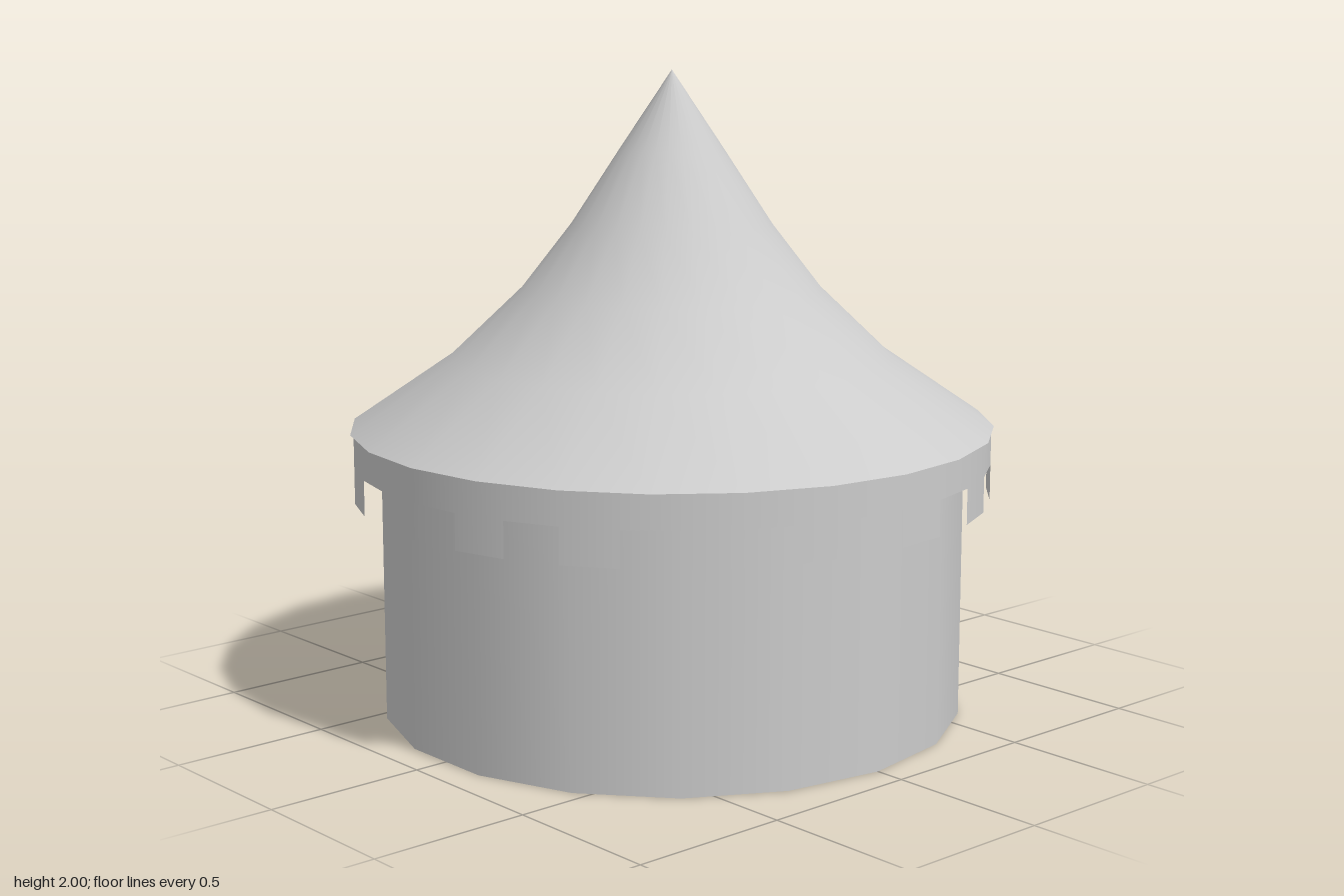
import * as THREE from 'three';

export function createModel() {
  const group = new THREE.Group();
  const material = new THREE.MeshStandardMaterial({ color: 0xcccccc, side: THREE.DoubleSide });
  const rad = THREE.MathUtils.degToRad;

  const add = (name, geometry, parent = group) => {
    const mesh = new THREE.Mesh(geometry, material);
    mesh.name = name;
    parent.add(mesh);
    return mesh;
  };

  // Open cylindrical shell between two heights, over an arc in degrees
  const shell = (radius, y0, y1, sides, start = 0, arc = 360) =>
    new THREE.CylinderGeometry(radius, radius, y1 - y0, sides, 1, true, rad(start), rad(arc))
      .translate(0, (y0 + y1) / 2, 0);

  const eaves = 0.905;

  // Round wall, open at the bottom, with a corner on the x axis
  add('wall', shell(0.907, 0, eaves, 18, 90));

  // Flared pointed roof
  const profile = [[1, eaves], [0.685, 1.12], [0.465, 1.33], [0.31, 1.53], [0.16, 1.76], [0, 2]]
    .map(([r, y]) => new THREE.Vector2(r, y));
  add('roof', new THREE.LatheGeometry(profile, 24));

  // Flat underside closing the roof
  add('roofUnderside', new THREE.CircleGeometry(1, 24).rotateX(Math.PI / 2).translate(0, eaves, 0));

  // Thin hanging band with square teeth under the eaves
  const trim = new THREE.Group();
  trim.name = 'eavesTrim';
  group.add(trim);
  add('trimBand', shell(0.99, 0.8, eaves, 36), trim);
  for (let i = 0; i < 18; i++) {
    add('trimTooth', shell(0.99, 0.69, 0.8, 1, i * 20 - 10, 10), trim);
  }

  return group;
}
